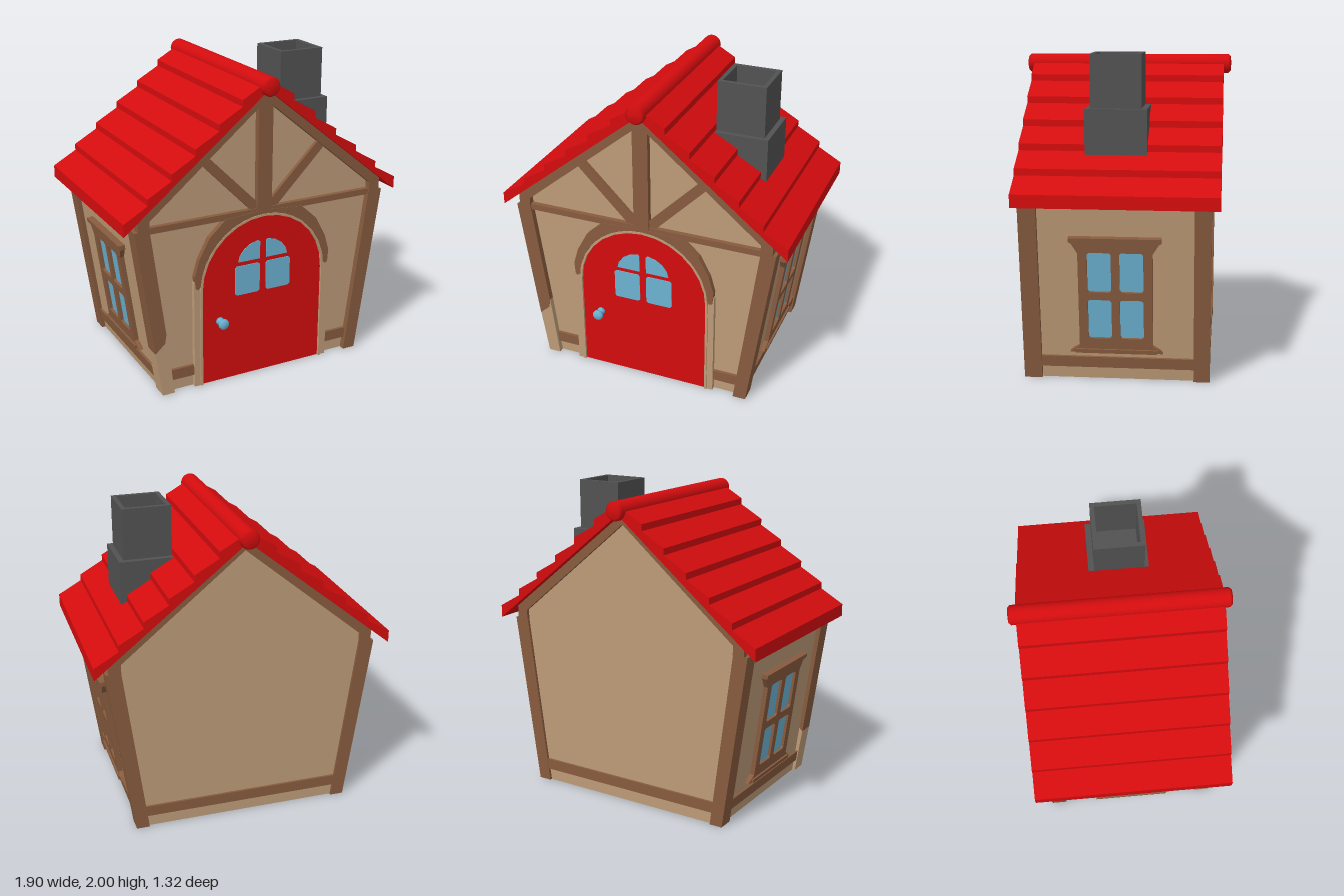
import * as THREE from 'three';

const mat = (name, color, side = THREE.FrontSide) => {
  const m = new THREE.MeshStandardMaterial({ color, side });
  m.name = name;
  return m;
};

export function createModel() {
  const red = mat('red paint', 0xd40c0e);
  const tan = mat('tan plaster', 0xbd9b77);
  const brown = mat('brown timber', 0x875b3e);
  const grey = mat('grey stone', 0x525252);
  const blue = mat('blue glass', 0x6cb3d2);

  const house = new THREE.Group();
  house.name = 'cottage';

  const add = (parent, name, geo, material) => {
    const mesh = new THREE.Mesh(geo, material);
    mesh.name = name;
    parent.add(mesh);
    return mesh;
  };
  const outline = (pts) => new THREE.Shape(pts.map(([x, y]) => new THREE.Vector2(x, y)));
  const mirrored = (pts, s) => pts.map(([x, y]) => [x * s, y]);
  // Flat plate: outline in x and y, filled from z0 to z1, with optional holes
  const plate = (parent, name, pts, z0, z1, material, holes = []) => {
    const shape = outline(pts);
    holes.forEach((h) => shape.holes.push(outline(h)));
    const geo = new THREE.ExtrudeGeometry(shape, { depth: z1 - z0, bevelEnabled: false });
    geo.translate(0, 0, z0);
    return add(parent, name, geo, material);
  };
  const rect = (x0, y0, x1, y1) => [[x0, y0], [x1, y0], [x1, y1], [x0, y1]];
  // Pane outline with softened corners
  const pane = (x0, y0, x1, y1, c = 0.012) => [
    [x0 + c, y0], [x1 - c, y0], [x1, y0 + c], [x1, y1 - c],
    [x1 - c, y1], [x0 + c, y1], [x0, y1 - c], [x0, y0 + c],
  ];
  const arc = (r, cy, a0, a1, n = 14) => Array.from({ length: n + 1 }, (_, i) => {
    const a = a0 + ((a1 - a0) * i) / n;
    return [r * Math.cos(a), cy + r * Math.sin(a)];
  });

  // Plastered body, flaring towards the eaves
  plate(house, 'walls', [[-0.69, 0], [0.69, 0], [0.845, 1.14], [0, 1.86], [-0.845, 1.14]], -0.545, 0.55, tan);

  // Corner posts; the right front one stands on a plaster foot
  const post = [[0.63, 0], [0.715, 0], [0.872, 1.12], [0.775, 1.12]];
  for (const s of [-1, 1]) {
    plate(house, 'backPost', mirrored(post, s), -0.562, -0.46, brown);
    if (s > 0) plate(house, 'frontPost', post, 0.48, 0.59, brown);
  }
  plate(house, 'frontPost', [[-0.757, 0.3], [-0.69, 0.36], [-0.681, 0.42], [-0.775, 1.12], [-0.872, 1.12]], 0.48, 0.59, brown);
  plate(house, 'postFoot', [[-0.71, 0], [-0.63, 0], [-0.681, 0.42], [-0.69, 0.36], [-0.757, 0.3]], 0.48, 0.588, tan);

  // Low rails and the front tie beam
  for (const s of [-1, 1]) plate(house, 'frontRail', mirrored(rect(0.485, 0.08, 0.66, 0.15), s), 0.54, 0.57, brown);
  plate(house, 'backRail', rect(-0.66, 0.08, 0.66, 0.15), -0.56, -0.53, brown);
  plate(house, 'tieBeam', rect(-0.85, 1.095, 0.85, 1.135), 0.53, 0.582, brown);

  // Gable timbers
  const rafter = [[0, 1.89], [0, 1.82], [0.775, 1.18], [0.775, 1.12], [0.85, 1.12], [0.85, 1.2]];
  for (const s of [-1, 1]) {
    plate(house, 'frontRafter', mirrored(rafter, s), 0.53, 0.592, brown);
    plate(house, 'backRafter', mirrored(rafter, s), -0.565, -0.53, brown);
    plate(house, 'gableBrace', mirrored([[0.0, 1.13], [0.09, 1.13], [0.43, 1.475], [0.385, 1.515]], s), 0.53, 0.575, brown);
  }
  plate(house, 'kingPost', rect(-0.05, 1.12, 0.05, 1.84), 0.53, 0.588, brown);

  // Arched door with its surround
  const PI = Math.PI;
  const door = new THREE.Group();
  door.name = 'door';
  house.add(door);
  plate(door, 'doorLeaf', [[-0.43, 0], [0.43, 0], ...arc(0.43, 0.65, 0, PI)], 0.53, 0.572, red);
  plate(door, 'doorLining', [[0.43, 0], [0.445, 0], ...arc(0.445, 0.65, 0, PI), [-0.445, 0], [-0.43, 0],
    ...arc(0.43, 0.65, PI, 0)], 0.53, 0.588, tan);
  for (const s of [-1, 1]) {
    plate(door, 'doorJamb', mirrored(rect(0.444, 0, 0.485, 0.72), s), 0.53, 0.58, tan);
    plate(door, 'archBracket', mirrored([[0.475, 0.68], [0.482, 0.76], [0.45, 0.87], [0.38, 1.0], [0.27, 1.1],
      [0, 1.12], ...arc(0.445, 0.65, PI / 2, 0.08, 9), [0.46, 0.67]], s), 0.53, 0.586, brown);
    // Door glass
    plate(door, 'lowerPane', mirrored(pane(0.022, 0.57, 0.197, 0.768), s), 0.57, 0.577, blue);
    plate(door, 'upperPane', mirrored([[0.022, 0.795], [0.175, 0.795], [0.165, 0.835], [0.135, 0.875],
      [0.09, 0.905], [0.035, 0.92], [0.022, 0.91]], s), 0.57, 0.577, blue);
  }
  const knob = add(door, 'doorKnob', new THREE.LatheGeometry(
    [[0, 0], [0.026, 0], [0.026, 0.014], [0.015, 0.026], [0.015, 0.036], [0.034, 0.05], [0.036, 0.064], [0.024, 0.078], [0, 0.08]]
      .map(([x, y]) => new THREE.Vector2(x, y)), 10), blue);
  knob.rotation.x = PI / 2;
  knob.position.set(-0.305, 0.42, 0.57);

  // Side windows and rails, leaning with the flared walls
  const half = [[0.285, 0.19], [0.265, 0.21], [0.225, 0.235], [0.225, 0.84], [0.262, 0.9], [0.278, 0.91], [0.278, 0.94]];
  const frame = [...half, ...mirrored(half, -1).reverse()];
  const panes = [];
  for (const [y0, y1] of [[0.285, 0.54], [0.59, 0.845]]) {
    panes.push(pane(0.025, y0, 0.17, y1), pane(-0.17, y0, -0.025, y1));
  }
  for (const s of [-1, 1]) {
    const side = new THREE.Group();
    side.name = s > 0 ? 'leftSide' : 'rightSide';
    side.rotation.order = 'YXZ';
    side.rotation.set(Math.atan(0.155 / 1.14), (s * PI) / 2, 0);
    side.position.set(s * 0.69, 0, 0.0125);
    house.add(side);
    plate(side, 'windowFrame', frame, -0.01, 0.03, brown, panes);
    plate(side, 'sillCap', rect(-0.25, 0.19, 0.25, 0.215), 0.0, 0.042, brown);
    plate(side, 'lintelCap', rect(-0.278, 0.915, 0.278, 0.94), 0.0, 0.042, brown);
    plate(side, 'windowGlass', rect(-0.19, 0.27, 0.19, 0.86), 0.004, 0.012, blue);
    plate(side, 'sideRail', rect(-0.48, 0.08, 0.48, 0.15), -0.01, 0.016, brown);
  }

  // Roof with overlapping courses
  const slope = [[0.95, 1.12]];
  for (let i = 0; i < 6; i++) {
    const x = 0.95 - 0.155 * i, y = 1.2 + 0.129 * i;
    slope.push([x, y], [Math.max(x - 0.155, 0.02), y + 0.088]);
  }
  plate(house, 'roof', [[0, 1.885], ...slope, ...mirrored(slope, -1).reverse()], -0.615, 0.618, red);

  // Ridge roll with softened ends
  const ridge = add(house, 'ridge', new THREE.LatheGeometry(
    [[0, -0.662], [0.045, -0.66], [0.06, -0.645], [0.06, 0.645], [0.045, 0.66], [0, 0.662]]
      .map(([x, y]) => new THREE.Vector2(x, y)), 24), red);
  ridge.rotation.x = PI / 2;
  ridge.position.y = 1.91;

  // Chimney: wide base and hollow stack
  const base = add(house, 'chimneyBase', new THREE.BoxGeometry(0.342, 0.275, 0.376), grey);
  base.position.set(0.506, 1.5375, 0.022);
  const stack = plate(house, 'chimneyStack', rect(-0.155, -0.155, 0.155, 0.155), 0, 0.34, grey,
    [rect(-0.128, -0.128, 0.128, 0.128)]);
  stack.rotation.x = -PI / 2;
  stack.position.set(0.49, 1.66, 0.025);

  return house;
}
